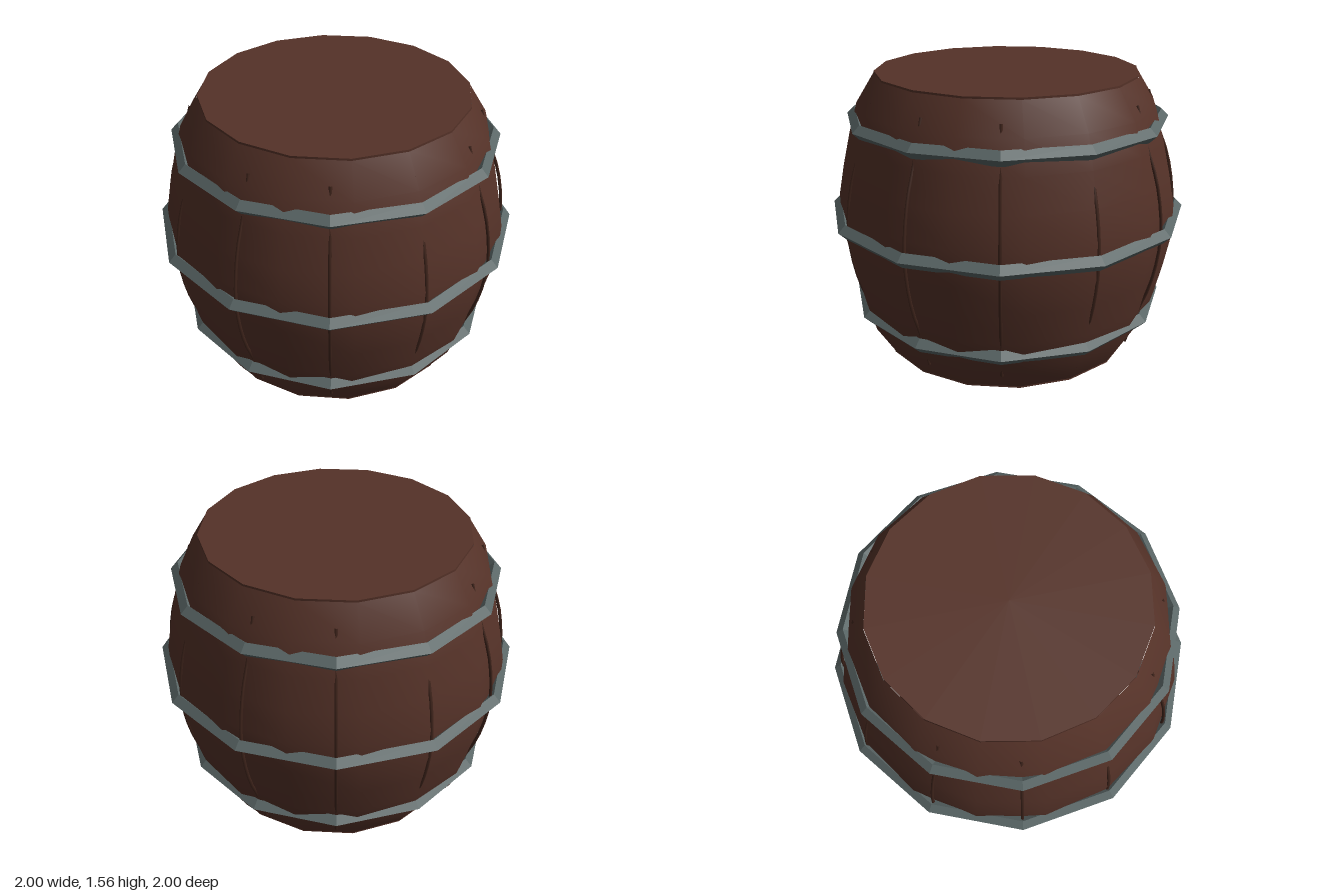
import * as THREE from 'three';

const MID = 0.78; // half height, the barrel is mirrored about this level

export function createModel() {
  const wood = new THREE.MeshStandardMaterial({ color: 0x553228 });
  wood.name = 'brown wood';
  const seamWood = new THREE.MeshStandardMaterial({ color: 0x40251c });
  seamWood.name = 'dark seam wood';
  const iron = new THREE.MeshStandardMaterial({ color: 0x5a6666, flatShading: true });
  iron.name = 'grey iron';

  const barrel = new THREE.Group();
  barrel.name = 'barrel';
  const add = (name, geometry, material, y = 0) => {
    const mesh = new THREE.Mesh(geometry, material);
    mesh.name = name;
    mesh.position.y = y;
    barrel.add(mesh);
    return mesh;
  };

  // Bulging body: lower half of the profile, mirrored upwards
  const lower = [[0.72, 0.01], [0.82, 0.17], [0.868, 0.34], [0.91, 0.52], [0.943, 0.69]];
  const upper = lower.map(([r, y]) => [r, 2 * MID - y]).reverse();
  const profile = [...lower, ...upper].map(([r, y]) => new THREE.Vector2(r, y));
  add('body', new THREE.LatheGeometry(profile, 16), wood);

  // Flat heads closing both ends
  const head = new THREE.CylinderGeometry(0.718, 0.718, 0.02, 16);
  add('bottomHead', head, wood, 0.01);
  add('topHead', head, wood, 2 * MID - 0.01);

  // Iron hoops with a diamond cross-section
  const hoops = [['lowerHoop', 0.85, 0.26], ['middleHoop', 0.96, MID], ['upperHoop', 0.85, 1.305]];
  for (const [name, radius, y] of hoops) {
    const hoop = new THREE.TorusGeometry(radius, 0.04, 4, 12).rotateX(Math.PI / 2);
    add(name, hoop, iron, y);
  }

  // Thin curved seams between the staves
  const path = new THREE.CatmullRomCurve3([
    [0.773, 0.11], [0.832, 0.3], [0.905, 0.5], [0.944, MID],
    [0.905, 1.06], [0.832, 1.26], [0.773, 1.45],
  ].map(([r, y]) => new THREE.Vector3(r, y, 0)));
  const seam = new THREE.TubeGeometry(path, 16, 0.009, 5);
  for (let i = 0; i < 12; i++) {
    add('staveSeam', seam, seamWood).rotation.y = (i * Math.PI) / 6;
  }
  return barrel;
}
